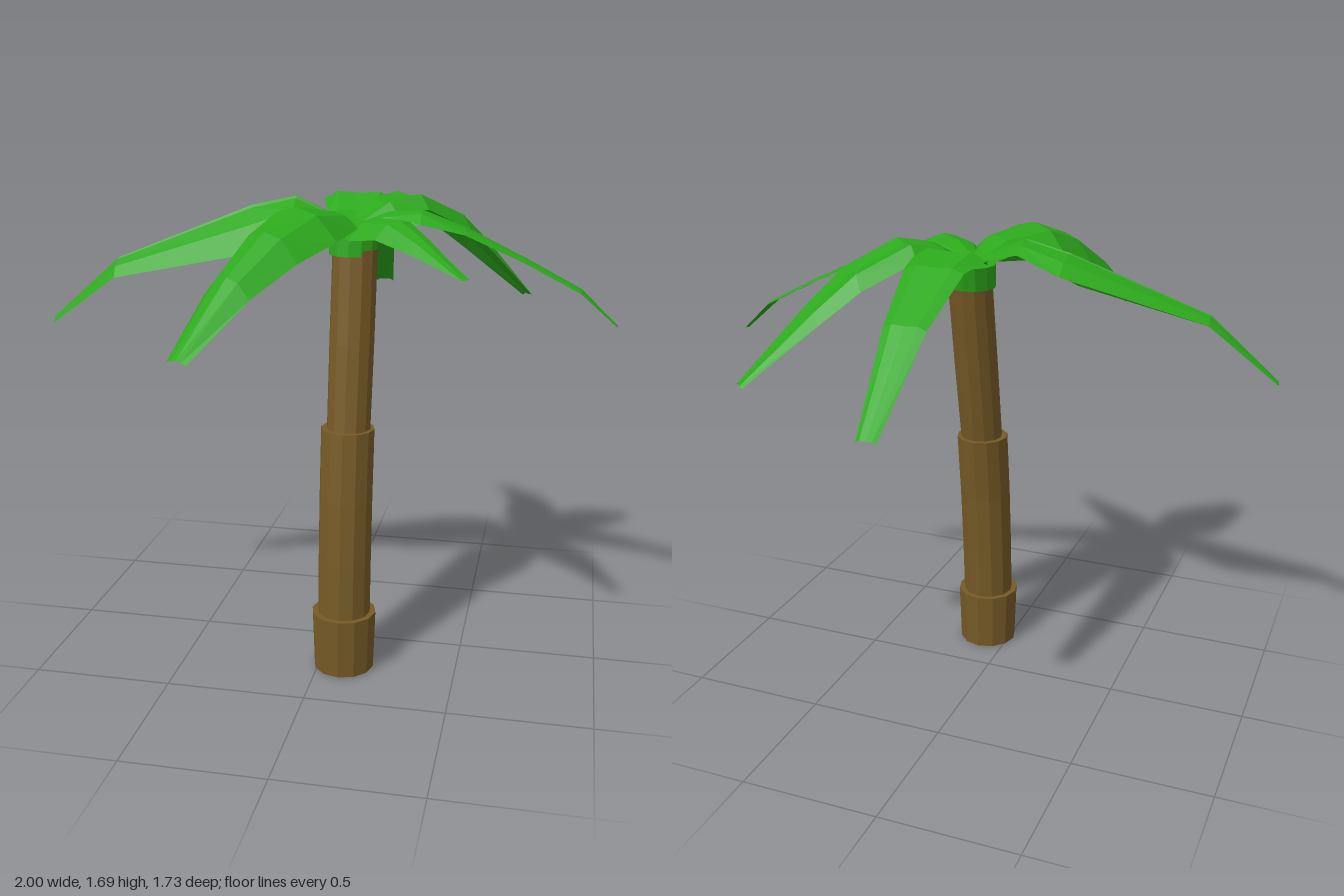
import * as THREE from 'three';

const bark = new THREE.MeshStandardMaterial({ color: 0x765a26, flatShading: true });
const leaf = new THREE.MeshStandardMaterial({ color: 0x2ca81c, flatShading: true, side: THREE.DoubleSide });

// Faceted log whose rings follow [y, z, radius] rows, bottom to top
function log(name, rows, x = 0.09, material = bark) {
  const n = rows.length - 1;
  const geo = new THREE.CylinderGeometry(1, 1, 1, 12, n);
  const p = geo.attributes.position;
  for (let i = 0; i < p.count; i++) {
    const [y, z, r] = rows[Math.round((p.getY(i) + 0.5) * n)];
    p.setXYZ(i, x + p.getX(i) * r, y, z + p.getZ(i) * r);
  }
  geo.computeVertexNormals();
  const mesh = new THREE.Mesh(geo, material);
  mesh.name = name;
  return mesh;
}

// Leaf sections as [across, share of edge drop]
const ARCHED = [[-1, 1], [-0.5, 0.2], [0, 0], [0.5, 0.2], [1, 1]];
const FLAT = [[-1, 1], [-0.6, 0], [0, 0.2], [0.6, 0], [1, 1]];
const GROOVED = [[-1, 1], [-0.6, 0.4], [-0.15, 0.05], [0, 0.2], [0.15, 0], [0.6, 0.1], [1, 0.35]];

// Leaf lofted through rows of [x, y, z, width, edge drop]
function frond(name, rows, section = ARCHED) {
  const a = rows[0], b = rows[rows.length - 1];
  const len = Math.hypot(b[0] - a[0], b[2] - a[2]);
  const sx = -(b[2] - a[2]) / len, sz = (b[0] - a[0]) / len;
  const pos = [], idx = [], m = section.length;
  rows.forEach(([x, y, z, w, drop], i) => {
    section.forEach(([u, d], j) => {
      pos.push(x + sx * u * w / 2, y - d * drop, z + sz * u * w / 2);
      if (i && j) {
        const k = i * m + j;
        idx.push(k - 1, k, k - m - 1, k, k - m, k - m - 1);
      }
    });
  });
  const geo = new THREE.BufferGeometry();
  geo.setAttribute('position', new THREE.Float32BufferAttribute(pos, 3));
  geo.setIndex(idx);
  geo.computeVertexNormals();
  const mesh = new THREE.Mesh(geo, leaf);
  mesh.name = name;
  return mesh;
}

export function createModel() {
  const tree = new THREE.Group();
  tree.name = 'palmTree';

  // Trunk in three stacked, leaning sections
  const trunk = new THREE.Group();
  trunk.name = 'trunk';
  trunk.add(
    log('trunkBase', [[0, 0.225, 0.11], [0.22, 0.225, 0.117]]),
    log('trunkMiddle', [[0.2, 0.226, 0.096], [0.42, 0.214, 0.096], [0.65, 0.195, 0.096], [0.9, 0.165, 0.096]]),
    log('trunkTop', [[0.88, 0.168, 0.078], [1.2, 0.112, 0.08], [1.4, 0.078, 0.08], [1.52, 0.058, 0.08]], 0.093),
  );
  tree.add(trunk);

  // Crown that the leaves spring from
  tree.add(log('crown', [[1.5, 0.06, 0.084], [1.585, 0.045, 0.09]], 0.085, leaf));

  // Six drooping leaves
  const fronds = new THREE.Group();
  fronds.name = 'fronds';
  fronds.add(
    frond('backFrond', [
      [0.06, 1.6, 0.07, 0.08, 0], [0.06, 1.63, -0.1, 0.19, 0.01], [0.06, 1.685, -0.2, 0.26, 0.03],
      [0.06, 1.655, -0.33, 0.21, 0.015], [0.06, 1.52, -0.56, 0.15, 0.012], [0.055, 1.245, -0.86, 0.07, 0.008]],
    FLAT),
    frond('backLeftFrond', [
      [0.07, 1.59, 0.04, 0.08, 0.01], [0.16, 1.67, -0.07, 0.18, 0.03], [0.25, 1.69, -0.15, 0.23, 0.05],
      [0.39, 1.605, -0.285, 0.22, 0.05], [0.49, 1.49, -0.39, 0.17, 0.04], [0.67, 1.26, -0.575, 0.06, 0.01]],
    FLAT),
    frond('leftFrond', [
      [0.06, 1.6, 0.02, 0.08, 0], [0.2, 1.64, -0.005, 0.19, 0.06], [0.32, 1.65, 0, 0.18, 0.04],
      [0.47, 1.592, 0, 0.15, 0.015], [0.63, 1.515, 0, 0.11, 0.01], [0.67, 1.497, 0, 0.1, 0.01],
      [0.87, 1.393, 0, 0.09, 0.008], [1, 1.272, 0, 0.04, 0.004]]),
    frond('frontLeftFrond', [
      [0.07, 1.6, 0.05, 0.08, 0.02], [0.18, 1.64, 0.16, 0.22, 0.07], [0.27, 1.645, 0.23, 0.19, 0.06],
      [0.36, 1.6, 0.33, 0.13, 0.04], [0.52, 1.505, 0.51, 0.03, 0]]),
    frond('frontRightFrond', [
      [0.07, 1.6, 0.03, 0.08, 0.02], [0.04, 1.66, 0.18, 0.2, 0.05], [-0.05, 1.69, 0.33, 0.32, 0.1],
      [-0.12, 1.63, 0.48, 0.26, 0.09], [-0.2, 1.51, 0.64, 0.18, 0.06], [-0.3, 1.295, 0.85, 0.08, 0.01]]),
    frond('rightFrond', [
      [0.08, 1.6, 0.04, 0.08, 0.02], [-0.12, 1.69, 0.04, 0.24, 0.1], [-0.28, 1.655, 0.035, 0.3, 0.15],
      [-0.76, 1.465, 0.11, 0.13, 0.06], [-1, 1.25, 0.14, 0.05, 0.02]], GROOVED),
  );
  tree.add(fronds);
  return tree;
}
